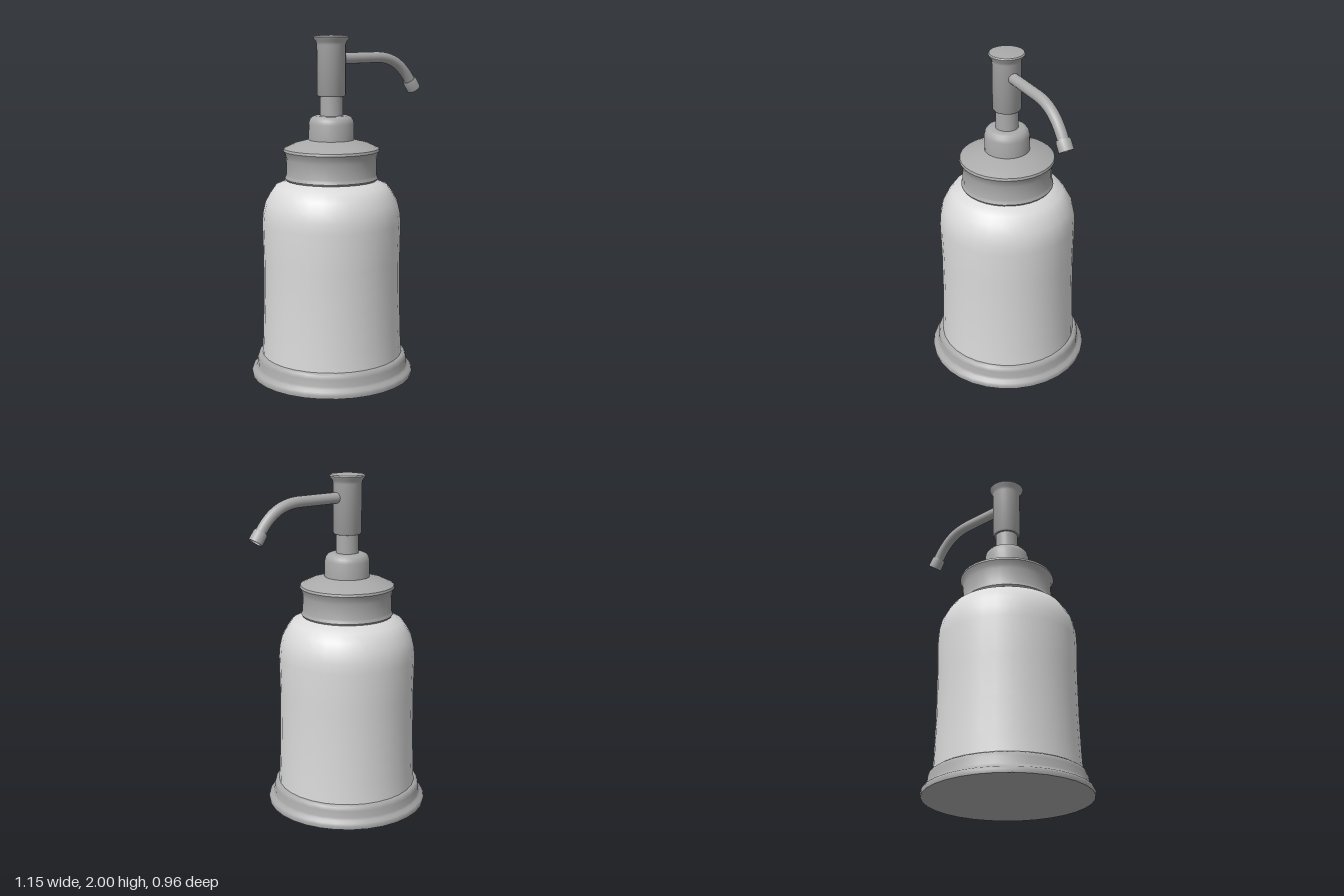
import * as THREE from 'three';
import { toCreasedNormals } from 'three/addons/utils/BufferGeometryUtils.js';

const SEGMENTS = 32;
const AXIS_X = -0.097; // bottle axis; the spout reaches out to +x

export function createModel() {
  const metal = new THREE.MeshStandardMaterial({ color: 0xaaaaaa });
  metal.name = 'brushed metal';
  const ceramic = new THREE.MeshStandardMaterial({ color: 0xdadada });
  ceramic.name = 'pale ceramic';

  const model = new THREE.Group();
  model.name = 'soapDispenser';

  // Turned part from [radius, height] pairs, bottom to top
  function turned(name, profile, material, segments = SEGMENTS) {
    const points = profile.map(([r, y]) => new THREE.Vector2(r, y));
    const geometry = toCreasedNormals(new THREE.LatheGeometry(points, segments), 0.75);
    const mesh = new THREE.Mesh(geometry, material);
    mesh.name = name;
    mesh.position.x = AXIS_X;
    model.add(mesh);
    return mesh;
  }

  // Stepped foot
  turned('base', [
    [0, 0], [0.478, 0], [0.481, 0.02], [0.474, 0.035], [0.455, 0.045], [0.447, 0.06],
    [0.445, 0.1], [0.437, 0.122], [0.425, 0.13], [0.39, 0.13],
  ], metal);

  // Bottle with rounded shoulder
  turned('body', [
    [0.416, 0.125], [0.41, 0.25], [0.404, 0.45], [0.402, 0.7], [0.406, 0.92],
    [0.401, 0.98], [0.387, 1.04], [0.36, 1.09], [0.328, 1.135], [0.28, 1.155], [0.23, 1.18],
  ], ceramic);

  // Screw collar with sloping top
  turned('collar', [
    [0.2, 1.168], [0.266, 1.168], [0.272, 1.178], [0.266, 1.192], [0.263, 1.2], [0.263, 1.29],
    [0.268, 1.315], [0.28, 1.338], [0.276, 1.352], [0.215, 1.38], [0.13, 1.402],
  ], metal);

  // Rounded pump cap
  turned('pumpCap', [
    [0.132, 1.395], [0.132, 1.495], [0.126, 1.518], [0.113, 1.534], [0.095, 1.541], [0.05, 1.542],
  ], metal);

  turned('stem', [[0.066, 1.535], [0.066, 1.66]], metal);

  // Pump head with flared button
  turned('pumpHead', [
    [0, 1.652], [0.076, 1.652], [0.083, 1.662], [0.083, 1.945], [0.088, 1.962],
    [0.101, 1.978], [0.104, 1.987], [0.098, 1.994], [0.06, 1.998], [0, 2],
  ], metal);

  // Curved spout
  const path = new THREE.CurvePath();
  const bend = new THREE.Vector3(0.22, 1.865, 0);
  path.add(new THREE.LineCurve3(new THREE.Vector3(-0.06, 1.865, 0), bend));
  path.add(new THREE.CubicBezierCurve3(
    bend,
    new THREE.Vector3(0.34, 1.868, 0),
    new THREE.Vector3(0.43, 1.83, 0),
    new THREE.Vector3(0.505, 1.715, 0),
  ));
  const spout = new THREE.Mesh(new THREE.TubeGeometry(path, 32, 0.032, 20), metal);
  spout.name = 'spout';
  model.add(spout);

  // Hollow nozzle on the spout end
  const nozzle = turned('nozzle', [
    [0, 0.05], [0.031, 0.05], [0.033, 0], [0.042, 0], [0.042, 0.055], [0.038, 0.068], [0, 0.068],
  ], metal, 20);
  nozzle.position.set(0.537, 1.667, 0);
  nozzle.rotation.z = 0.607;

  return model;
}
